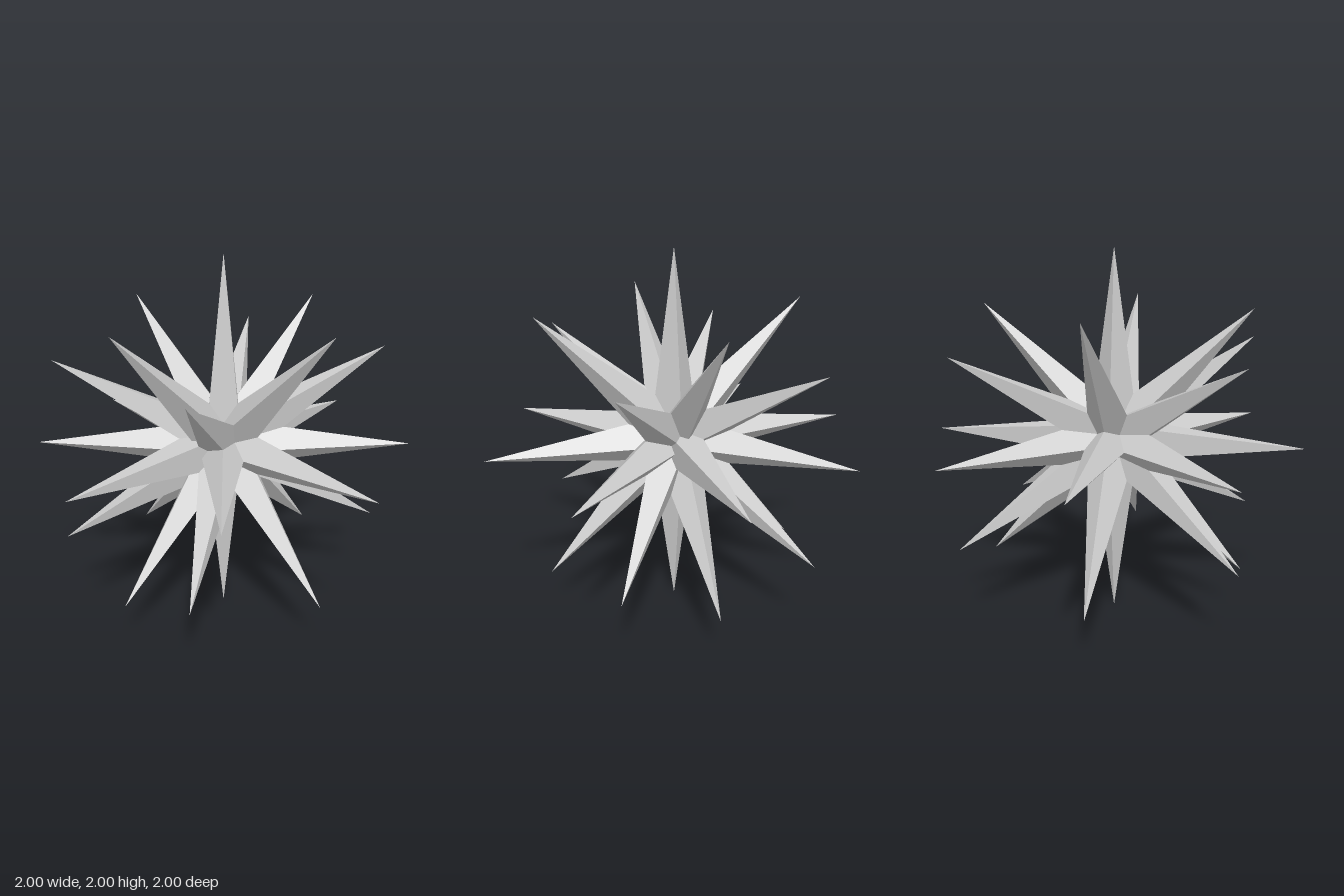
import * as THREE from 'three';

export function createModel() {
  const star = new THREE.Group();
  star.name = 'spikedStar';
  const material = new THREE.MeshStandardMaterial({ color: 0xcccccc, flatShading: true });

  // one four-sided spike, base at the star's centre, pointing up
  const spikeGeometry = new THREE.ConeGeometry(0.138, 1, 4, 1, true).toNonIndexed();
  spikeGeometry.translate(0, 0.5, 0);
  spikeGeometry.computeVertexNormals();

  // lean tips the spike towards the x axis, turn swings it around that axis
  function addSpike(name, lean, turn) {
    const spike = new THREE.Mesh(spikeGeometry, material);
    spike.name = name;
    spike.rotation.set(turn, 0, lean); // order XYZ: lean first, then turn
    spike.position.y = 1;
    star.add(spike);
  }

  // three rings of eight spikes around the x axis
  const step = Math.PI / 4;
  for (let i = 0; i < 8; i++) {
    addSpike('middleSpike', 0, i * step);
    addSpike('leftSpike', -step, i * step);
    addSpike('rightSpike', step, i * step);
  }

  // the two spikes along the x axis, with their edges on the diagonals
  addSpike('leftPoleSpike', -2 * step, step);
  addSpike('rightPoleSpike', 2 * step, step);

  return star;
}
